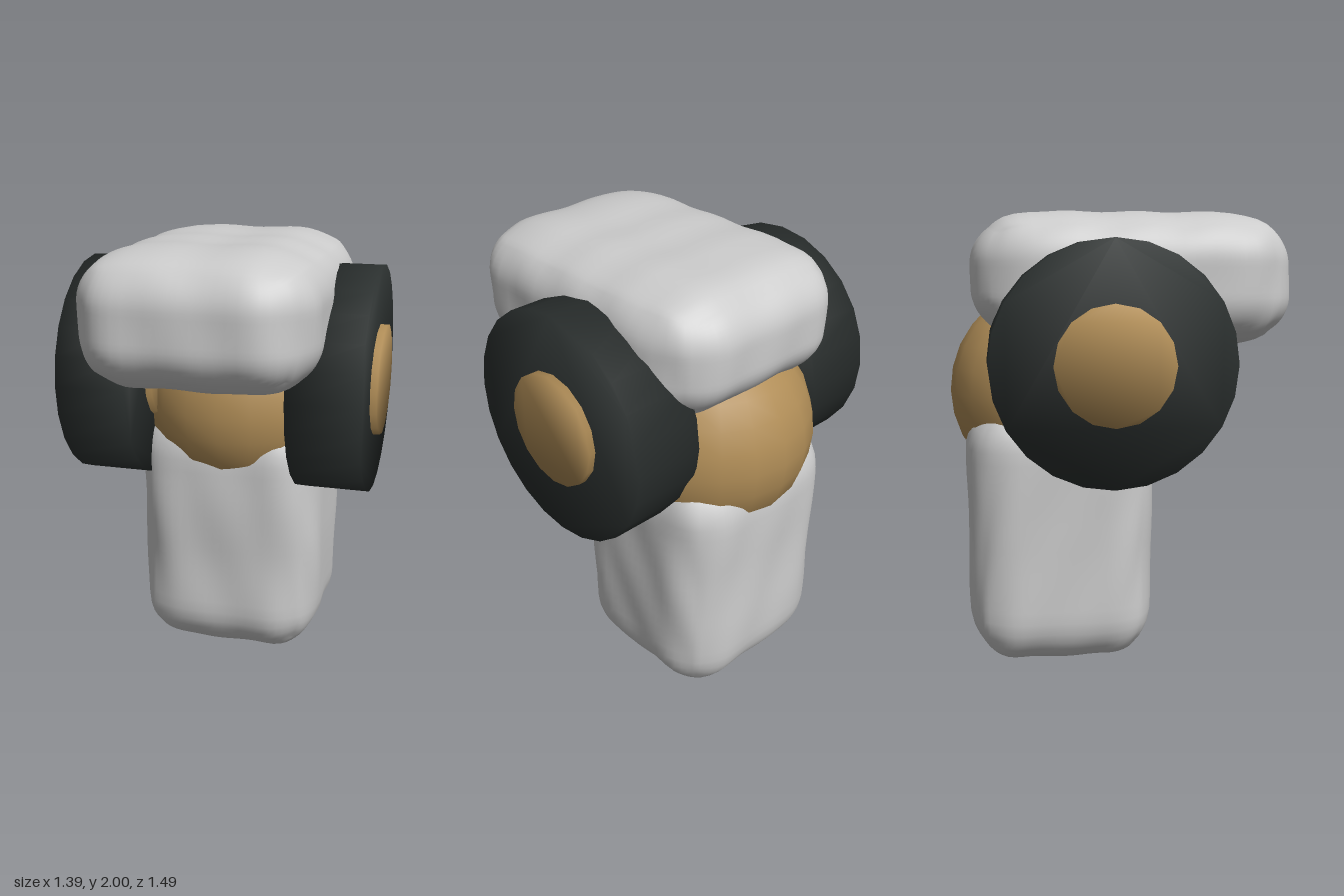
import * as THREE from 'three';
import { mergeVertices } from 'three/addons/utils/BufferGeometryUtils.js';

const stone = new THREE.MeshStandardMaterial({ color: 0xcccccc });
const bronze = new THREE.MeshStandardMaterial({ color: 0xb08d57 });
const rubber = new THREE.MeshStandardMaterial({ color: 0x2b302f });

// Share vertices so that normals blend across every edge
function smooth(geometry) {
  geometry.deleteAttribute('uv');
  geometry.deleteAttribute('normal');
  const merged = mergeVertices(geometry, 1e-4);
  merged.computeVertexNormals();
  return merged;
}

// Rounded block with a faintly uneven surface; taper narrows one end
function block(min, max, radius, phase, taper) {
  const box = new THREE.Box3(new THREE.Vector3(...min), new THREE.Vector3(...max));
  const size = box.getSize(new THREE.Vector3());
  const centre = box.getCenter(new THREE.Vector3());
  const r = new THREE.Vector3(...radius);
  const inner = size.clone().multiplyScalar(0.5).sub(r);
  const innerMin = inner.clone().negate();
  const geometry = smooth(new THREE.BoxGeometry(size.x, size.y, size.z, 22, 22, 22));
  const pos = geometry.attributes.position;
  const p = new THREE.Vector3(), q = new THREE.Vector3();
  for (let i = 0; i < pos.count; i++) {
    p.fromBufferAttribute(pos, i);
    const bump = 0.0035 * (Math.sin(p.x * 19 + p.y * 7 + phase) + Math.sin(p.z * 21 - p.y * 11 + phase * 2)) - 0.003;
    q.copy(p).clamp(innerMin, inner);
    p.sub(q).divide(r).normalize();
    p.multiply(r.clone().addScalar(bump)).add(q);
    taper(p);
    pos.setXYZ(i, p.x + centre.x, p.y + centre.y, p.z + centre.z);
  }
  geometry.computeVertexNormals();
  return geometry;
}

// Solid disc lying across the x axis from x0 to x1, shaded softly over the rim
function disc(radius, sides, x0, x1) {
  const shape = new THREE.Shape(Array.from({ length: sides }, (_, i) => {
    const a = (i / sides) * Math.PI * 2;
    return new THREE.Vector2(Math.cos(a) * radius, Math.sin(a) * radius);
  }));
  const extruded = new THREE.ExtrudeGeometry(shape, { depth: x1 - x0, bevelEnabled: false });
  extruded.rotateY(Math.PI / 2).translate(x0, 0, 0);
  const geometry = smooth(extruded);
  const { position, normal } = geometry.attributes;
  const n = new THREE.Vector3();
  for (let i = 0; i < position.count; i++) {
    const end = position.getX(i) > (x0 + x1) / 2 ? 1 : -1;
    n.set(end, position.getY(i) / radius, position.getZ(i) / radius).normalize();
    normal.setXYZ(i, n.x, n.y, n.z);
  }
  return geometry;
}

export function createModel() {
  const model = new THREE.Group();
  const add = (name, geometry, material, parent = model) => {
    const mesh = new THREE.Mesh(geometry, material);
    mesh.name = name;
    parent.add(mesh);
    return mesh;
  };

  // Upright lower block, slightly narrower towards the base
  add('lowerBlock', block([-0.435, 0.01, -0.675], [0.435, 1.2, 0.15], [0.23, 0.22, 0.22], 0.5, (p) => {
    const s = 1 - 0.04 * Math.max(0, -p.y);
    p.x *= s;
    p.z *= s;
  }), stone);

  // Upper block reaching forward, narrower and shallower at the back
  add('upperBlock', block([-0.51, 1.42, -0.64], [0.51, 2, 0.745], [0.27, 0.22, 0.28], 2.1, (p) => {
    const back = Math.max(0, -p.z - 0.3);
    p.x *= 1 - 0.15 * back;
    if (p.y < 0) p.y *= 1 - 0.35 * back;
  }), stone);

  // Ball joint between the blocks
  const ball = add('ballJoint', new THREE.SphereGeometry(0.48, 20, 14), bronze);
  ball.position.set(0, 1.21, -0.26);

  // One wheel and hub on each side
  for (const side of [1, -1]) {
    const wheel = new THREE.Group();
    wheel.name = side > 0 ? 'leftWheel' : 'rightWheel';
    wheel.position.set(0, 1.375, -0.076);
    if (side < 0) wheel.rotation.y = Math.PI;
    add('tyre', disc(0.506, 24, 0.35, 0.667), rubber, wheel);
    add('hub', disc(0.248, 16, 0.32, 0.697), bronze, wheel);
    model.add(wheel);
  }
  return model;
}
